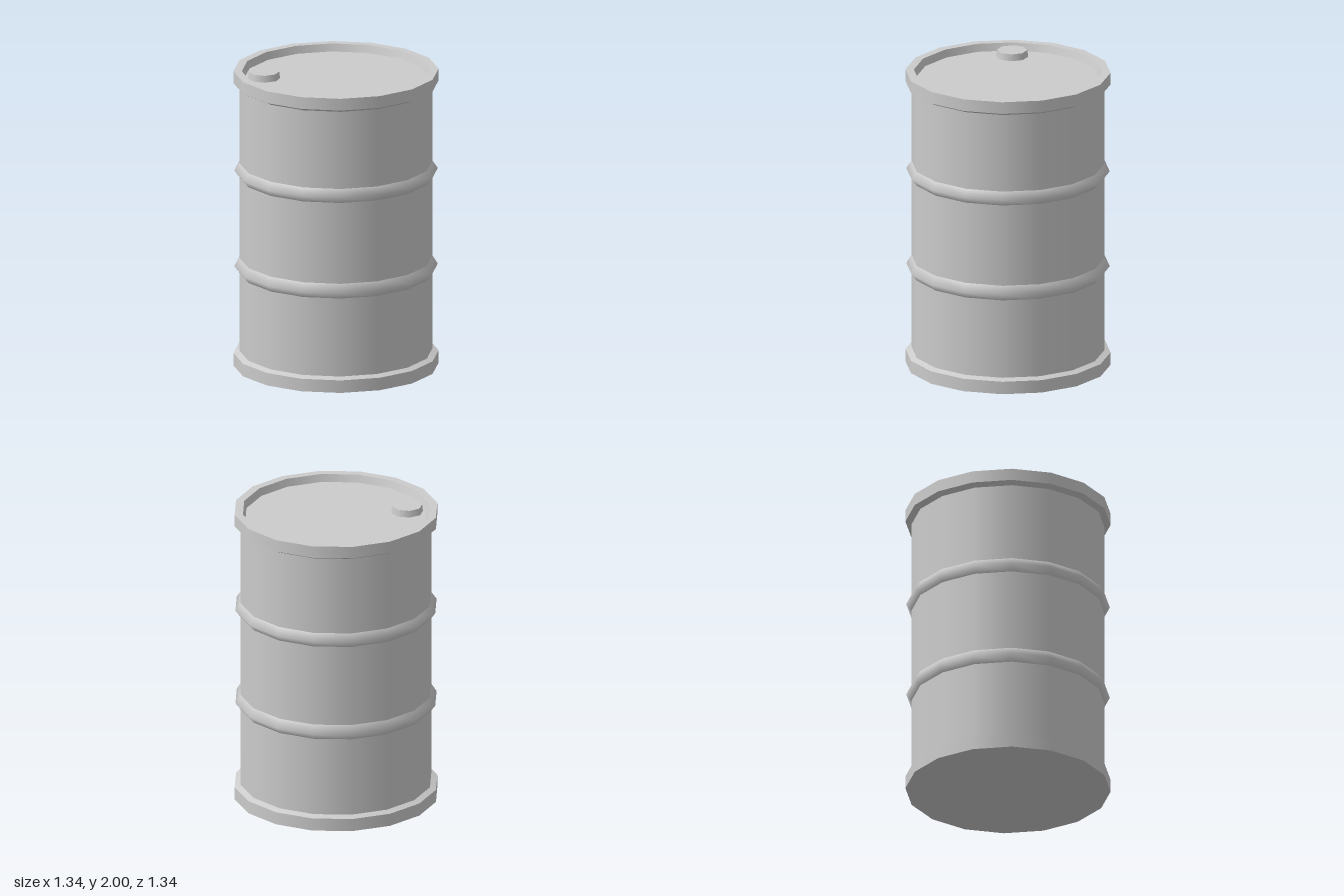
import * as THREE from 'three';

const SIDES = 16;
const BODY = 0.63, RIB = 0.665, RIM = 0.67;
const steel = new THREE.MeshStandardMaterial({ color: 0xcccccc });

// Revolves a profile of [radius, height] points, listed upwards on the outside
function revolve(name, profile, sides = SIDES) {
  const points = profile.map(([r, y]) => new THREE.Vector2(r, y));
  const mesh = new THREE.Mesh(new THREE.LatheGeometry(points, sides), steel);
  mesh.name = name;
  return mesh;
}

// Revolves each step of a profile separately, so the edges between stay sharp
function revolveSharp(name, profile, sides = SIDES) {
  const group = new THREE.Group();
  group.name = name;
  for (let i = 0; i < profile.length - 1; i++) {
    group.add(revolve(name + 'Band' + (i + 1), [profile[i], profile[i + 1]], sides));
  }
  return group;
}

export function createModel() {
  const drum = new THREE.Group();
  drum.name = 'drum';

  // Bottom plate and lower rim
  drum.add(revolveSharp('bottomRim', [[0, 0], [RIM, 0], [RIM, 0.085], [BODY, 0.1]]));

  // Wall panels between the rims and ribs
  [[0.1, 0.63], [0.73, 1.28], [1.375, 1.9]].forEach(([low, high], i) => {
    drum.add(revolve('wall' + (i + 1), [[BODY, low], [BODY, high]]));
  });

  // Two rolled ribs, smooth over the crest
  drum.add(revolve('lowerRib', [[BODY, 0.63], [RIB, 0.675], [BODY, 0.73]]));
  drum.add(revolve('upperRib', [[BODY, 1.28], [RIB, 1.325], [BODY, 1.375]]));

  // Upper rim, its inner lip and the sunken lid
  drum.add(revolveSharp('topRim', [[BODY, 1.9], [RIM, 1.92], [RIM, 2], [0.615, 2], [0.6, 1.95]]));
  drum.add(revolve('lid', [[0.6, 1.95], [0, 1.95]]));

  // Eight-sided filler cap on the lid
  const cap = revolveSharp('fillerCap', [[0.105, 0], [0.099, 0.045], [0, 0.045]], 8);
  cap.position.set(-0.47, 1.95, 0);
  drum.add(cap);

  return drum;
}
